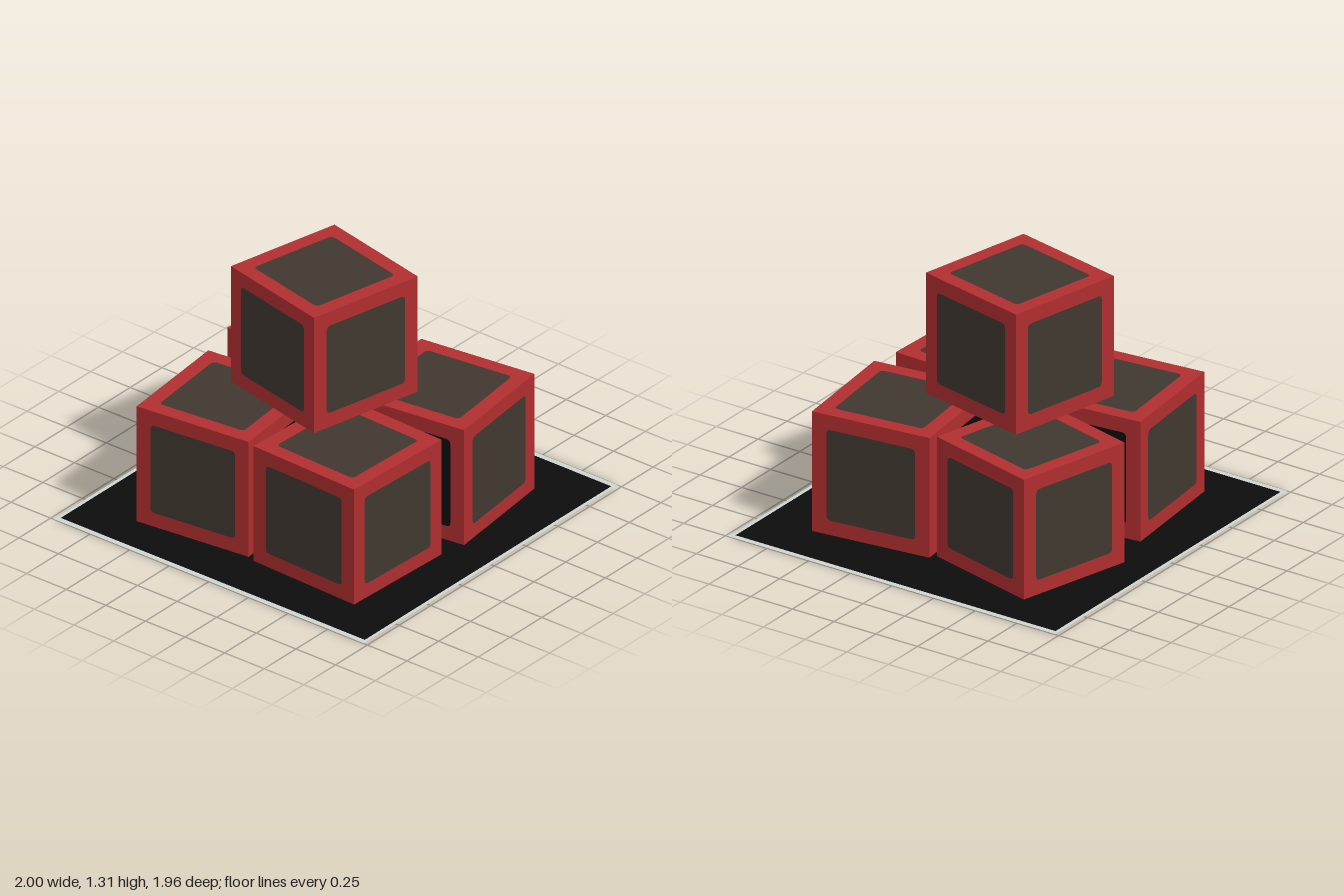
import * as THREE from 'three';

const S = 0.655;      // cube edge
const PANEL = 0.495;  // panel edge

const mat = (name, color, side = THREE.FrontSide) => {
  const m = new THREE.MeshStandardMaterial({ color, side });
  m.name = name;
  return m;
};

// square outline with softly rounded corners
function roundedSquare(size, r, C = THREE.Shape) {
  const h = size / 2, s = new C();
  s.moveTo(-h + r, -h);
  s.lineTo(h - r, -h);
  s.quadraticCurveTo(h, -h, h, -h + r);
  s.lineTo(h, h - r);
  s.quadraticCurveTo(h, h, h - r, h);
  s.lineTo(-h + r, h);
  s.quadraticCurveTo(-h, h, -h, h - r);
  s.lineTo(-h, -h + r);
  s.quadraticCurveTo(-h, -h, -h + r, -h);
  return s;
}

function rect(w, d, C = THREE.Shape) {
  return new C([[-w, -d], [w, -d], [w, d], [-w, d]].map(([x, y]) => new THREE.Vector2(x / 2, y / 2)));
}

function framed(outer, hole) {
  outer.holes.push(hole);
  return new THREE.ShapeGeometry(outer, 4);
}

export function createModel() {
  const model = new THREE.Group();
  const red = mat('red frame', 0xb02e2f);
  const olive = mat('dark olive panel', 0x403830);
  const black = mat('black', 0x0c0c0c, THREE.DoubleSide);
  const pale = mat('pale border', 0xd0d4cf, THREE.DoubleSide);

  // ground sheet with a pale rim
  const ground = new THREE.Group();
  ground.name = 'groundSheet';
  const sheet = new THREE.Mesh(new THREE.PlaneGeometry(1.94, 1.92), black);
  sheet.name = 'sheet';
  const rim = new THREE.Mesh(framed(rect(2, 1.96), rect(1.94, 1.92, THREE.Path)), pale);
  rim.name = 'sheetRim';
  ground.add(sheet, rim);
  ground.rotation.x = -Math.PI / 2;
  ground.position.y = 0.002;
  model.add(ground);

  // a cube face is a frame with a flush panel; resting faces have a hairline frame
  const frameGeo = framed(rect(S, S), roundedSquare(PANEL, 0.025, THREE.Path));
  const panelGeo = new THREE.ShapeGeometry(roundedSquare(PANEL, 0.025), 4);
  const thinFrameGeo = framed(rect(S, S), rect(S - 0.01, S - 0.01, THREE.Path));
  const widePanelGeo = new THREE.PlaneGeometry(S - 0.01, S - 0.01);

  const H = Math.PI / 2;
  const sides = {
    front: [0, 0], left: [0, H], back: [0, Math.PI], right: [0, -H], top: [-H, 0], bottom: [H, 0],
  };

  function cube(name, x, y, z, turn, dark, resting) {
    const g = new THREE.Group();
    g.name = name;
    for (const [side, [rx, ry]] of Object.entries(sides)) {
      const thin = resting && side === 'bottom';
      const face = new THREE.Group();
      face.name = side + 'Face';
      const frame = new THREE.Mesh(thin ? thinFrameGeo : frameGeo, red);
      frame.name = 'frame';
      const panel = new THREE.Mesh(thin ? widePanelGeo : panelGeo, dark.includes(side) ? black : olive);
      panel.name = 'panel';
      face.add(frame, panel);
      face.rotation.set(rx, ry, 0);
      face.position.set(0, 0, S / 2).applyEuler(face.rotation);
      g.add(face);
    }
    g.position.set(x, y + S / 2, z);
    g.rotation.y = turn;
    model.add(g);
  }

  // four cubes on the sheet, dark on the faces turned inward, and one on top
  cube('backRightCube', -0.40, 0, -0.358, 0.107, ['left', 'front', 'bottom'], true);
  cube('backLeftCube', 0.365, 0, -0.39, -0.25, ['right', 'front', 'bottom'], true);
  cube('frontRightCube', -0.392, 0, 0.387, -0.04, ['left', 'back', 'bottom'], true);
  cube('frontLeftCube', 0.35, 0, 0.393, 0.12, ['right', 'back', 'bottom'], true);
  cube('topCube', -0.03, S, -0.05, -0.218, ['bottom'], false);

  return model;
}
